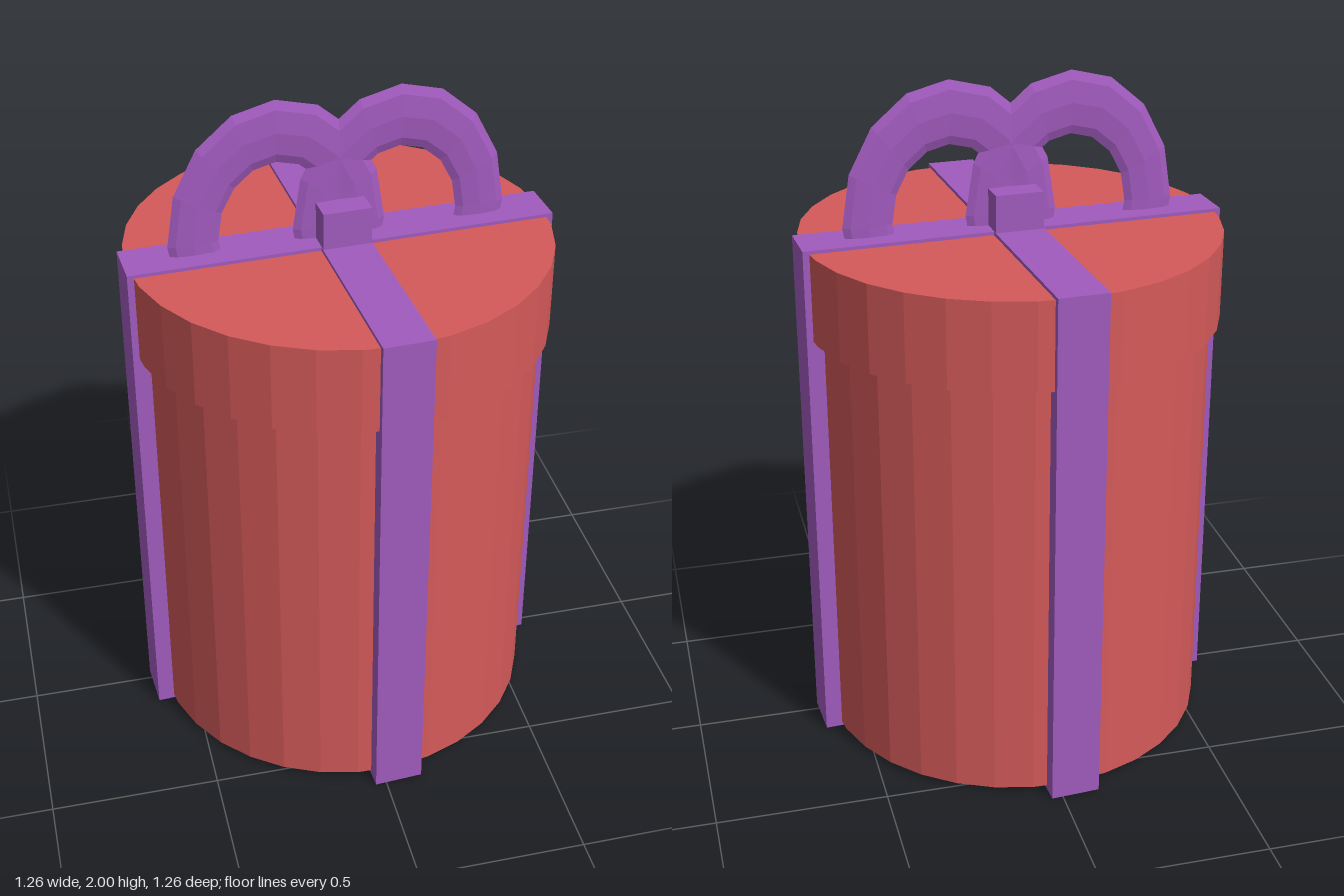
import * as THREE from 'three';

const red = new THREE.MeshStandardMaterial({ color: 0xd65a5a, flatShading: true });
red.name = 'red paper';
const purple = new THREE.MeshStandardMaterial({ color: 0xa25bbf, flatShading: true });
purple.name = 'purple ribbon';

export function createModel() {
  const model = new THREE.Group();
  model.name = 'giftBox';

  const add = (name, geometry, material, x, y, z) => {
    const mesh = new THREE.Mesh(geometry, material);
    mesh.name = name;
    mesh.position.set(x, y, z);
    model.add(mesh);
    return mesh;
  };
  const drum = (name, radius, bottom, top) =>
    add(name, new THREE.CylinderGeometry(radius, radius, top - bottom, 32), red, 0, (bottom + top) / 2, 0);

  // Round box and its wider lid
  drum('body', 0.583, 0.013, 1.4);
  drum('lid', 0.613, 1.3, 1.56);

  // Two crossing ribbons wrapped all the way round
  const height = 1.57, length = 1.25, width = 0.145;
  add('sideRibbon', new THREE.BoxGeometry(length, height, width), purple, 0, height / 2, 0);
  add('frontRibbon', new THREE.BoxGeometry(width, height, length), purple, 0, height / 2, 0);

  // Knot in the middle
  add('knot', new THREE.BoxGeometry(0.142, 0.13, 0.176), purple, 0, 1.615, 0);

  // Flat bow loops whose ends sink into the lid
  const step = Math.PI / 8;
  for (const side of [-1, 1]) {
    const loop = new THREE.TorusGeometry(0.2425, 0.0725, 8, 10, step * 10);
    loop.rotateZ(-step);
    loop.scale(1, 1.27, 0.2);
    add(side > 0 ? 'leftLoop' : 'rightLoop', loop, purple, side * 0.18, 1.6, 0);
  }

  // The whole present is turned slightly
  model.rotation.y = 0.063;
  const group = new THREE.Group();
  group.name = 'present';
  group.add(model);
  return group;
}
